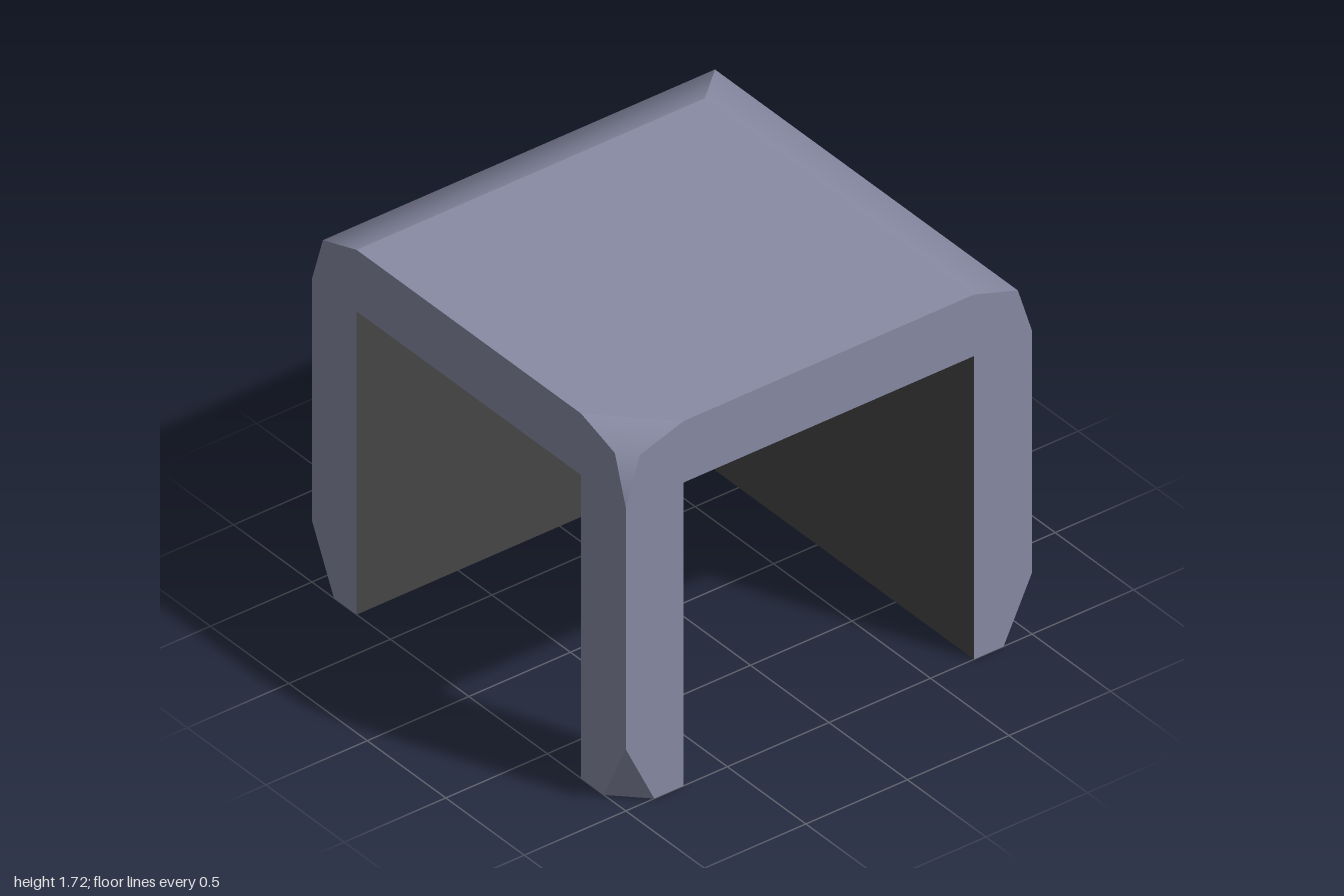
import * as THREE from 'three';

const shellMat = new THREE.MeshStandardMaterial({ color: 0x888ba4 });
shellMat.name = 'slate shell';
const innerMat = new THREE.MeshStandardMaterial({ color: 0x464647 });
innerMat.name = 'dark interior';

const T = 0.715, H = 1.72, E = 1.43; // inner face, total height, ceiling height
const v = (x, y, z) => new THREE.Vector3(x, y, z);
// Reflection that turns the left wall into the back wall
const reflect = p => v(-p.z, p.y, -p.x);

// Convex faces, each given as [corners, normals]; a single normal serves all corners
function facesGeometry(faces) {
  const pos = [], nor = [];
  for (const [pts, normals] of faces) {
    const ns = pts.map((_, i) => (normals[i] || normals[0]).clone().normalize());
    for (let i = 1; i < pts.length - 1; i++) {
      let tri = [0, i, i + 1];
      const [a, b, c] = tri.map(k => pts[k]);
      const g = b.clone().sub(a).cross(c.clone().sub(a));
      if (g.dot(ns[0]) < 0) tri = [0, i + 1, i];
      for (const k of tri) {
        pos.push(...pts[k].toArray());
        nor.push(...ns[k].toArray());
      }
    }
  }
  const geo = new THREE.BufferGeometry();
  geo.setAttribute('position', new THREE.Float32BufferAttribute(pos, 3));
  geo.setAttribute('normal', new THREE.Float32BufferAttribute(nor, 3));
  return geo;
}
const mirrorFaces = faces => faces.map(([p, n]) => [p.map(reflect), n.map(reflect)]);

export function createModel() {
  const group = new THREE.Group();
  const add = (name, geo, mat) => {
    const mesh = new THREE.Mesh(geo, mat);
    mesh.name = name;
    group.add(mesh);
    return mesh;
  };

  // Outer wall strips: [from, to, normal at from, normal at to] in (x, y), mitred at the corner
  const strips = [
    [[T, 0], [0.86, 0], [0, -1], [0, -1]],
    [[0.86, 0], [1, 0.29], [0.5, -0.85], [0.97, -0.23]],
    [[1, 0.29], [1, E], [0.97, -0.23], [1, 0]],
    [[1, E], [0.93, 1.65], [0.95, 0.3], [0.71, 0.71]],
    [[0.93, 1.65], [T, H], [0.71, 0.71], [0.3, 0.95]],
  ];
  const wall = strips.map(([a, b, na, nb]) => {
    const n0 = v(na[0], na[1], 0), n1 = v(nb[0], nb[1], 0);
    return [
      [v(a[0], a[1], 1), v(b[0], b[1], 1), v(b[0], b[1], -b[0]), v(a[0], a[1], -a[0])],
      [n0, n1, n1, n0],
    ];
  });
  add('leftWall', facesGeometry(wall), shellMat);
  add('backWall', facesGeometry(mirrorFaces(wall)), shellMat);

  // Flat roof with one cut corner
  add('roof', facesGeometry([[
    [v(-1, H, -T), v(T, H, -T), v(T, H, 1), v(-T, H, 1), v(-1, H, T)], [v(0, 1, 0)],
  ]]), shellMat);

  // Arch-shaped end faces on the two open sides
  const half = [[T, E], [T, 0], [0.86, 0], [1, 0.29], [1, E], [0.93, 1.65], [T, H]];
  const outline = [...half, ...half.map(([x, y]) => [-x, y]).reverse()];
  const arch = new THREE.ShapeGeometry(new THREE.Shape(outline.map(p => new THREE.Vector2(...p))));
  add('frontArch', arch.clone().translate(0, 0, 1), shellMat);
  add('sideArch', arch.clone().translate(0, 0, 1).rotateY(-Math.PI / 2), shellMat);

  // Bevelled corner and foot of the free-standing pillar
  const low = v(-1, 0.32, 1), mid = v(-0.98, 1.13, 0.98), high = v(-1, 3.14, 1);
  const m = v(-0.93, 1.65, 1), t = v(-T, H, 1);
  add('pillarCorner', facesGeometry([
    [[v(-1, E, 1), m, reflect(m)], [low, mid, mid]],
    [[m, t, reflect(t), reflect(m)], [mid, high, high, mid]],
    [[v(-1, 0.29, 1), v(-0.86, 0, 1), v(-1, 0, 0.86)], [v(-1, -0.48, 1)]],
    [[v(-T, 0, T), v(-T, 0, 1), v(-0.86, 0, 1), v(-1, 0, 0.86), v(-1, 0, T)], [v(0, -1, 0)]],
  ]), shellMat);

  // Dark inner faces of the walls, pillar and ceiling
  const upright = (x, z0, z1, nx) =>
    [[v(x, 0, z0), v(x, E, z0), v(x, E, z1), v(x, 0, z1)], [v(nx, 0, 0)]];
  const innerWall = [upright(T, -T, 1, -1)];
  const innerPillar = [upright(-T, T, 1, 1)];
  add('innerWalls', facesGeometry([...innerWall, ...mirrorFaces(innerWall)]), innerMat);
  add('innerPillar', facesGeometry([...innerPillar, ...mirrorFaces(innerPillar)]), innerMat);
  add('ceiling', facesGeometry([
    [[v(-1, E, -T), v(T, E, -T), v(T, E, T), v(-1, E, T)], [v(0, -1, 0)]],
    [[v(-T, E, T), v(T, E, T), v(T, E, 1), v(-T, E, 1)], [v(0, -1, 0)]],
  ]), innerMat);

  return group;
}
